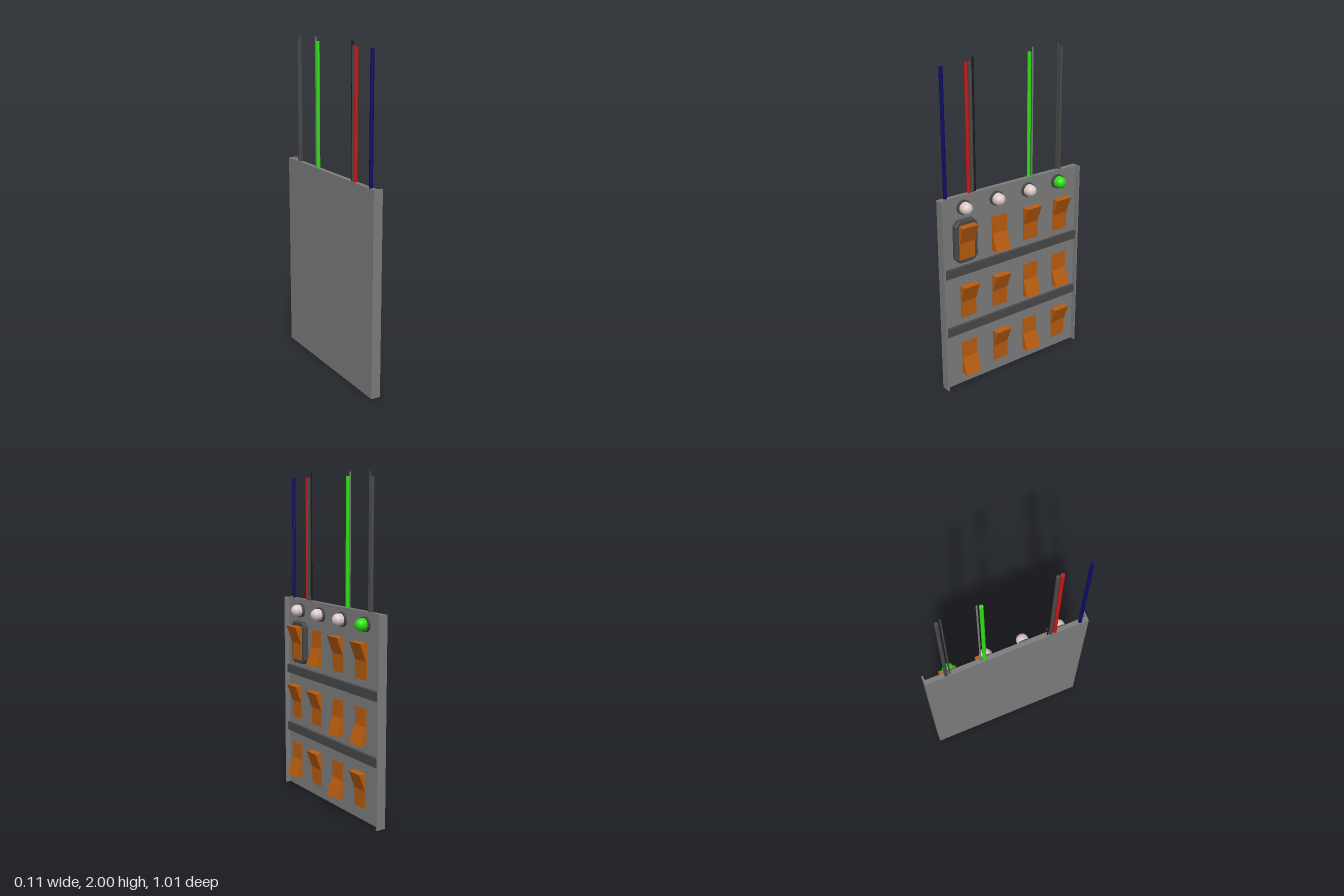
import * as THREE from 'three';

const mat = (name, color, side = THREE.FrontSide) => {
  const m = new THREE.MeshStandardMaterial({ color, side });
  m.name = name;
  return m;
};

export function createModel() {
  const model = new THREE.Group();
  model.name = 'switchPanel';

  const grey = mat('panel grey', 0x7c7c7c);
  const dark = mat('dark grey', 0x484848);
  const orange = mat('rocker orange', 0xb85c10);
  const pale = mat('pale lamp', 0xdccaca);
  const green = mat('green', 0x2ee012);
  const navy = mat('navy', 0x0c0c64);
  const red = mat('red', 0xc41616);
  const black = mat('black', 0x161616);

  const add = (name, geometry, material, x = 0, y = 0, z = 0, parent = model) => {
    const mesh = new THREE.Mesh(geometry, material);
    mesh.name = name;
    mesh.position.set(x, y, z);
    parent.add(mesh);
    return mesh;
  };
  const box = (name, material, x0, x1, y0, y1, z0, z1) =>
    add(name, new THREE.BoxGeometry(x1 - x0, y1 - y0, z1 - z0), material,
      (x0 + x1) / 2, (y0 + y1) / 2, (z0 + z1) / 2);

  // Back plate, side flanges and divider bars; the panel faces +x
  box('backPlate', grey, -0.054, -0.026, 0, 1.23, -0.496, 0.496);
  for (const s of [-1, 1]) {
    box('sideFlange', grey, -0.054, 0.004, 0, 1.23, s * 0.5 - 0.005, s * 0.5 + 0.005);
  }
  for (const y of [0.385, 0.768]) {
    box('dividerBar', dark, -0.026, -0.008, y - 0.027, y + 0.027, -0.495, 0.495);
  }

  // Rocker switches: a thin flat half and a wedge that rises toward one end
  const columns = [0.346, 0.116, -0.115, -0.345];
  const rows = [
    { y: 0.957, up: [1, 0, 1, 1] },
    { y: 0.58, up: [1, 1, 0, 0] },
    { y: 0.2, up: [0, 1, 0, 1] },
  ];
  const rockerGeometry = (dir) => {
    const points = [[0.005, -0.106], [0.009, -0.106], [0.011, 0], [0.052, 0.106], [0.005, 0.106]];
    const shape = new THREE.Shape(points.map(([x, y]) => new THREE.Vector2(x, y * dir)));
    return new THREE.ExtrudeGeometry(shape, { depth: 0.106, bevelEnabled: false }).translate(0, 0, -0.053);
  };
  const topOut = rockerGeometry(1);
  const bottomOut = rockerGeometry(-1);
  for (const row of rows) {
    columns.forEach((z, i) => add('rockerSwitch', row.up[i] ? topOut : bottomOut, orange, 0, row.y, z));
  }

  // Chamfered surround behind the first switch
  const w = 0.072, h = 0.126, c = 0.025;
  const outline = new THREE.Shape([
    [-w + c, -h], [w - c, -h], [w, -h + c], [w, h - c],
    [w - c, h], [-w + c, h], [-w, h - c], [-w, -h + c],
  ].map(([x, y]) => new THREE.Vector2(x, y)));
  const surround = new THREE.ExtrudeGeometry(outline, {
    depth: 0.026, bevelThickness: 0.004, bevelSize: 0.005, bevelSegments: 1,
  }).rotateY(Math.PI / 2);
  add('switchSurround', surround, dark, -0.026, 0.958, 0.345);

  // Indicator lamps: collar plus domed lens
  const collar = new THREE.CylinderGeometry(0.044, 0.044, 0.016, 32).rotateZ(-Math.PI / 2);
  const profile = [new THREE.Vector2(0.036, 0)];
  for (let i = 0; i <= 12; i++) {
    const a = (i / 12) * Math.PI / 2;
    profile.push(new THREE.Vector2(0.036 * Math.cos(a), 0.025 + 0.036 * Math.sin(a)));
  }
  const lens = new THREE.LatheGeometry(profile, 32).rotateZ(-Math.PI / 2);
  columns.forEach((z, i) => {
    const lamp = new THREE.Group();
    lamp.name = 'indicatorLamp';
    lamp.position.set(0, 1.16, z);
    add('lampCollar', collar, dark, -0.018, 0, 0, lamp);
    add('lampLens', lens, i === 3 ? green : pale, -0.016, 0, 0, lamp);
    model.add(lamp);
  });

  // Wires rising from the top edge: [z, radius, top, material]
  const wires = [
    [0.455, 0.011, 1.975, navy],
    [0.295, 0.011, 1.975, red],
    [0.27, 0.011, 1.975, dark],
    [0.251, 0.005, 2, black],
    [-0.138, 0.011, 1.975, green],
    [-0.162, 0.005, 2, grey],
    [-0.35, 0.005, 2, dark],
    [-0.373, 0.011, 1.975, dark],
  ];
  for (const [z, r, top, material] of wires) {
    add('wire', new THREE.CylinderGeometry(r, r, top - 1.2, 16), material, -0.041, (top + 1.2) / 2, z);
  }

  return model;
}
